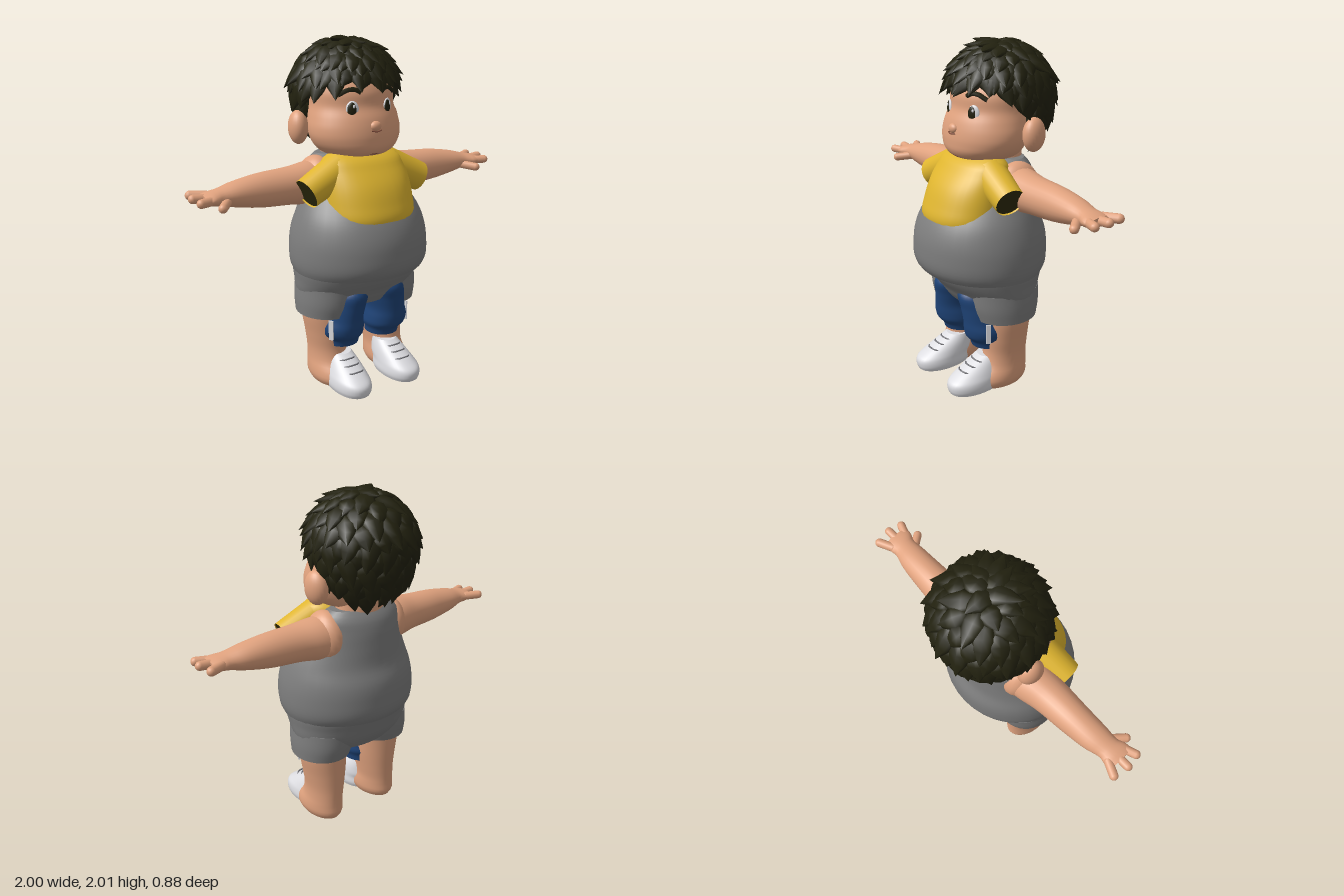
import * as THREE from 'three';

const mat = (name, color) => {
  const m = new THREE.MeshStandardMaterial({ color, side: THREE.DoubleSide });
  m.name = name;
  return m;
};
const V = (x, y, z) => new THREE.Vector3(x, y, z);

// Smooth body from rings [y, centreX, centreZ, radiusX, radiusZ], listed bottom to top
function loft(rings, { steps = 28, seg = 36, power = 2 } = {}) {
  const ys = rings.map(r => r[0]);
  const curve = new THREE.CubicInterpolant(ys, rings.flatMap(r => r.slice(1)), 4);
  const pos = [], idx = [];
  const y0 = ys[0], y1 = ys[ys.length - 1];
  const bend = v => Math.sign(v) * Math.abs(v) ** (2 / power);
  for (let j = 0; j <= steps; j++) {
    const y = y0 + (y1 - y0) * j / steps;
    const [cx, cz, rx, rz] = curve.evaluate(y);
    for (let i = 0; i < seg; i++) {
      const a = i / seg * Math.PI * 2;
      pos.push(cx + rx * bend(Math.sin(a)), y, cz + rz * bend(Math.cos(a)));
      if (j < steps) {
        const p = j * seg + i, q = j * seg + (i + 1) % seg;
        idx.push(p, q, q + seg, p, q + seg, p + seg);
      }
    }
  }
  // End caps with their own vertices, so the rims stay crisp
  for (const [j, ring, up] of [[0, rings[0], false], [steps, rings[rings.length - 1], true]]) {
    const c = pos.length / 3;
    pos.push(ring[1], ring[0], ring[2]);
    for (let i = 0; i < seg; i++) {
      const k = (j * seg + i) * 3;
      pos.push(pos[k], pos[k + 1], pos[k + 2]);
      const p = c + 1 + i, q = c + 1 + (i + 1) % seg;
      idx.push(c, up ? p : q, up ? q : p);
    }
  }
  const g = new THREE.BufferGeometry();
  g.setAttribute('position', new THREE.Float32BufferAttribute(pos, 3));
  g.setIndex(idx);
  g.computeVertexNormals();
  return g;
}

const ball = (x, y, z, rx, ry, rz, turn = 0) =>
  new THREE.SphereGeometry(1, 24, 16).scale(rx, ry, rz).rotateY(turn).translate(x, y, z);
const tube = (points, r) =>
  new THREE.TubeGeometry(new THREE.CatmullRomCurve3(points), 12, r, 6);

// Geometry placed with its y axis from a to b
function between(g, a, b) {
  const q = new THREE.Quaternion().setFromUnitVectors(V(0, 1, 0), b.clone().sub(a).normalize());
  const mid = a.clone().add(b).multiplyScalar(0.5);
  return g.applyQuaternion(q).translate(mid.x, mid.y, mid.z);
}
const finger = (a, b, r) => between(new THREE.CapsuleGeometry(r, a.distanceTo(b), 6, 12), a, b);

function mirrored(g) {
  const m = g.clone().scale(-1, 1, 1), ix = m.index.array;
  for (let i = 0; i < ix.length; i += 3) [ix[i], ix[i + 1]] = [ix[i + 1], ix[i]];
  return m;
}

export function createModel() {
  const skin = mat('skin', 0xe0a27e), grey = mat('grey cloth', 0x7d7d7d);
  const yellow = mat('yellow cloth', 0xdfb52f), blue = mat('blue cloth', 0x1f4478);
  const white = mat('white', 0xdcdce0), dark = mat('dark hair', 0x22210f);
  const lining = mat('sleeve lining', 0x2f2b0c), lace = mat('lace grey', 0x77777c);
  const brown = mat('mouth brown', 0x8a5340);

  const model = new THREE.Group();
  model.name = 'boy';
  const add = (name, g, m) => {
    const mesh = new THREE.Mesh(g, m);
    mesh.name = name;
    model.add(mesh);
  };
  const pair = (name, g, m) => {
    add(name + 'Left', g, m);
    add(name + 'Right', mirrored(g), m);
  };

  // Tank top, shorts and the shirt in front
  add('tankTop', loft([
    [0.705, 0, 0.06, 0.4, 0.345], [0.74, 0, 0.06, 0.412, 0.37], [0.86, 0, 0.06, 0.415, 0.38],
    [0.95, 0, 0.058, 0.4, 0.367], [1.04, 0, 0.055, 0.37, 0.33], [1.15, 0, 0.02, 0.315, 0.28],
    [1.25, 0, -0.025, 0.275, 0.22], [1.32, 0, -0.06, 0.25, 0.16], [1.36, 0, -0.08, 0.2, 0.105]]), grey);
  add('shortsHips', loft([
    [0.5, 0, 0.025, 0.3, 0.2], [0.54, 0, 0.025, 0.36, 0.23], [0.58, 0, 0.025, 0.38, 0.255],
    [0.66, 0, 0.04, 0.392, 0.3], [0.72, 0, 0.045, 0.398, 0.325], [0.76, 0, 0.05, 0.395, 0.33]]), grey);
  pair('shortsLeg', loft([
    [0.445, 0.215, 0.03, 0.17, 0.19], [0.52, 0.205, 0.03, 0.182, 0.21],
    [0.62, 0.19, 0.03, 0.19, 0.22]], { steps: 10 }), grey);
  add('shirt', loft([
    [0.95, 0, 0.13, 0.26, 0.235], [1.04, 0, 0.15, 0.275, 0.24], [1.12, 0, 0.14, 0.275, 0.228],
    [1.22, 0, 0.12, 0.27, 0.205], [1.3, 0, 0.1, 0.26, 0.165], [1.36, 0, 0.09, 0.235, 0.12],
    [1.385, 0, 0.085, 0.19, 0.08]], { power: 2.2 }), yellow);
  const cuffA = V(0.16, 1.29, 0.1), cuffB = V(0.385, 1.188, 0.13);
  pair('sleeve', between(new THREE.CylinderGeometry(0.086, 0.1, cuffA.distanceTo(cuffB), 24, 4, true),
    cuffA, cuffB), yellow);
  pair('sleeveOpening', between(new THREE.CylinderGeometry(0.084, 0.084, 0.006, 24),
    V(0.372, 1.194, 0.128), V(0.38, 1.19, 0.129)), lining);

  // Arms lie along x: ring entries are x, -y, z, radiusY, radiusZ
  pair('arm', loft([
    [0.15, -1.21, -0.05, 0.12, 0.12], [0.28, -1.205, -0.04, 0.123, 0.125],
    [0.4, -1.205, -0.03, 0.108, 0.11], [0.6, -1.206, -0.025, 0.094, 0.095],
    [0.75, -1.208, -0.018, 0.068, 0.083], [0.84, -1.208, -0.008, 0.045, 0.07],
    [0.89, -1.208, -0.002, 0.036, 0.085], [0.925, -1.21, 0, 0.024, 0.07]],
  { seg: 24 }).rotateZ(-Math.PI / 2), skin);
  pair('shoulder', ball(0.22, 1.205, -0.045, 0.1, 0.15, 0.14), skin);
  pair('fingerBack', finger(V(0.88, 1.212, -0.06), V(0.957, 1.216, -0.098), 0.026), skin);
  pair('fingerMiddle', finger(V(0.88, 1.21, -0.005), V(0.975, 1.218, -0.008), 0.025), skin);
  pair('fingerFront', finger(V(0.88, 1.208, 0.045), V(0.96, 1.21, 0.073), 0.025), skin);
  pair('thumb', finger(V(0.8, 1.19, 0.035), V(0.86, 1.178, 0.11), 0.025), skin);

  // Bare legs and feet
  pair('leg', loft([
    [0, 0.205, 0.055, 0.095, 0.155], [0.03, 0.205, 0.058, 0.112, 0.176], [0.08, 0.205, 0.05, 0.114, 0.168],
    [0.13, 0.204, 0.03, 0.108, 0.148], [0.2, 0.2, 0.02, 0.111, 0.14], [0.3, 0.2, 0.02, 0.125, 0.145],
    [0.44, 0.205, 0.02, 0.143, 0.15], [0.52, 0.2, 0.02, 0.145, 0.15]]), skin);

  // Blue trousers with a side stripe
  pair('trouserLeg', loft([
    [0.245, 0.145, 0.1, 0.1, 0.105], [0.285, 0.145, 0.105, 0.106, 0.115], [0.31, 0.15, 0.11, 0.124, 0.135],
    [0.36, 0.155, 0.12, 0.128, 0.14], [0.42, 0.15, 0.12, 0.116, 0.145], [0.5, 0.138, 0.12, 0.118, 0.155],
    [0.58, 0.122, 0.12, 0.115, 0.165], [0.62, 0.115, 0.1, 0.1, 0.16]]), blue);
  pair('trouserStripe', new THREE.BoxGeometry(0.028, 0.12, 0.009).rotateY(Math.PI / 3)
    .translate(0.27, 0.37, 0.19), white);

  // Shoes with laces
  pair('shoe', loft([
    [0, 0.175, 0.22, 0.102, 0.172], [0.025, 0.175, 0.22, 0.11, 0.182], [0.07, 0.175, 0.215, 0.106, 0.18],
    [0.1, 0.172, 0.185, 0.098, 0.167], [0.14, 0.168, 0.15, 0.085, 0.13],
    [0.19, 0.165, 0.1, 0.066, 0.085]], { power: 2.2 }), white);
  [[0.125, 0.312], [0.15, 0.265], [0.172, 0.22]].forEach(([y, z], i) => pair('lace' + (i + 1), tube([
    V(0.11, y - 0.012, z - 0.03), V(0.14, y, z), V(0.168, y + 0.003, z + 0.005),
    V(0.196, y, z), V(0.226, y - 0.012, z - 0.03)], 0.005), lace));

  // Head, neck and ears
  add('neck', loft([[1.26, 0, -0.07, 0.17, 0.13], [1.36, 0, -0.08, 0.155, 0.12],
    [1.45, 0, -0.08, 0.15, 0.12]], { steps: 8 }), skin);
  add('head', loft([
    [1.345, 0, -0.01, 0.1, 0.1], [1.37, 0, 0.02, 0.18, 0.18], [1.4, 0, 0.027, 0.228, 0.208],
    [1.46, 0, 0.023, 0.268, 0.224], [1.52, 0, 0.012, 0.276, 0.23], [1.58, 0, 0, 0.265, 0.226],
    [1.64, 0, -0.012, 0.25, 0.212], [1.72, 0, -0.02, 0.248, 0.212], [1.8, 0, -0.05, 0.225, 0.2],
    [1.9, 0, -0.08, 0.12, 0.11]], { steps: 40, seg: 44 }), skin);
  pair('ear', ball(0.305, 1.517, -0.09, 0.056, 0.096, 0.074, 0.2), skin);

  // Face: both pupils look towards the model's right
  add('nose', ball(0, 1.54, 0.232, 0.035, 0.028, 0.024), skin);
  add('noseLine', tube([V(-0.032, 1.517, 0.243), V(0, 1.512, 0.25), V(0.032, 1.517, 0.243)], 0.004), brown);
  add('mouth', ball(0, 1.387, 0.217, 0.035, 0.007, 0.01), brown);
  for (const [s, side] of [[1, 'Left'], [-1, 'Right']]) {
    const turn = s * 0.42;
    add('eyeWhite' + side, ball(s * 0.115, 1.632, 0.175, 0.036, 0.047, 0.012, turn), white);
    add('pupil' + side, ball(s * 0.115 - 0.005, 1.63, 0.181 + s * 0.002, 0.026, 0.041, 0.011, turn), dark);
    add('eyeGlint' + side, ball(s * 0.118 + 0.004, 1.65, 0.19 - s * 0.002, 0.007, 0.009, 0.004, turn), white);
  }
  pair('eyebrow', tube([V(0.068, 1.722, 0.185), V(0.095, 1.737, 0.176), V(0.13, 1.737, 0.161),
    V(0.178, 1.708, 0.129)], 0.014), dark);

  // Hair: a cap with a low back edge, covered with pointed tufts
  const edge = new THREE.CubicInterpolant([0, 0.3, 0.45, 0.62, 1], [1.8, 1.77, 1.66, 1.5, 1.46], 1);
  const onCap = (a, t) => {
    const drop = edge.evaluate(Math.abs(a) / Math.PI)[0] - 1.72;
    const th = t * Math.acos(drop / (drop > 0 ? 0.26 : 0.38));
    const c = Math.cos(th), r = 0.288 * Math.sin(th);
    return V(r * Math.sin(a), 1.72 + c * (c > 0 ? 0.26 : 0.38), -0.09 + r * Math.cos(a));
  };
  const cap = new THREE.SphereGeometry(1, 40, 20);
  for (let i = 0; i < cap.attributes.position.count; i++) {
    const phi = cap.attributes.uv.getX(i) * Math.PI * 2, t = 1 - cap.attributes.uv.getY(i);
    const p = onCap(Math.atan2(-Math.cos(phi), Math.sin(phi)), t);
    cap.attributes.position.setXYZ(i, p.x, p.y, p.z);
  }
  cap.computeVertexNormals();
  add('hairCap', cap, dark);

  const tuft = new THREE.LatheGeometry([[0, -0.08], [0.045, -0.05], [0.062, 0], [0.045, 0.055], [0, 0.125]]
    .map(p => new THREE.Vector2(...p)), 8).scale(1, 1, 0.5);
  const count = 150;
  for (let i = 0; i < count; i++) {
    const a = (i * 2.39996) % (Math.PI * 2) - Math.PI, t = Math.sqrt((i + 0.5) / count);
    const p = onCap(a, t * 0.98);
    const out = p.clone().sub(V(0, 1.68, -0.09)).normalize();
    const down = onCap(a, t * 0.98 + 0.02).sub(p).normalize();
    const swirl = V(Math.cos(a), 0, -Math.sin(a)).multiplyScalar(0.35 * Math.sin(i * 4.7));
    const y = down.addScaledVector(out, 0.22 + 0.12 * Math.sin(i * 2.3)).add(swirl).normalize();
    const x = y.clone().cross(out).normalize(), z = x.clone().cross(y);
    const g = tuft.clone().scale(1, 0.9 + 0.2 * Math.sin(i * 1.7), 1);
    add('hairTuft' + (i + 1), g.applyMatrix4(new THREE.Matrix4().makeBasis(x, y, z).setPosition(p)), dark);
  }
  return model;
}
